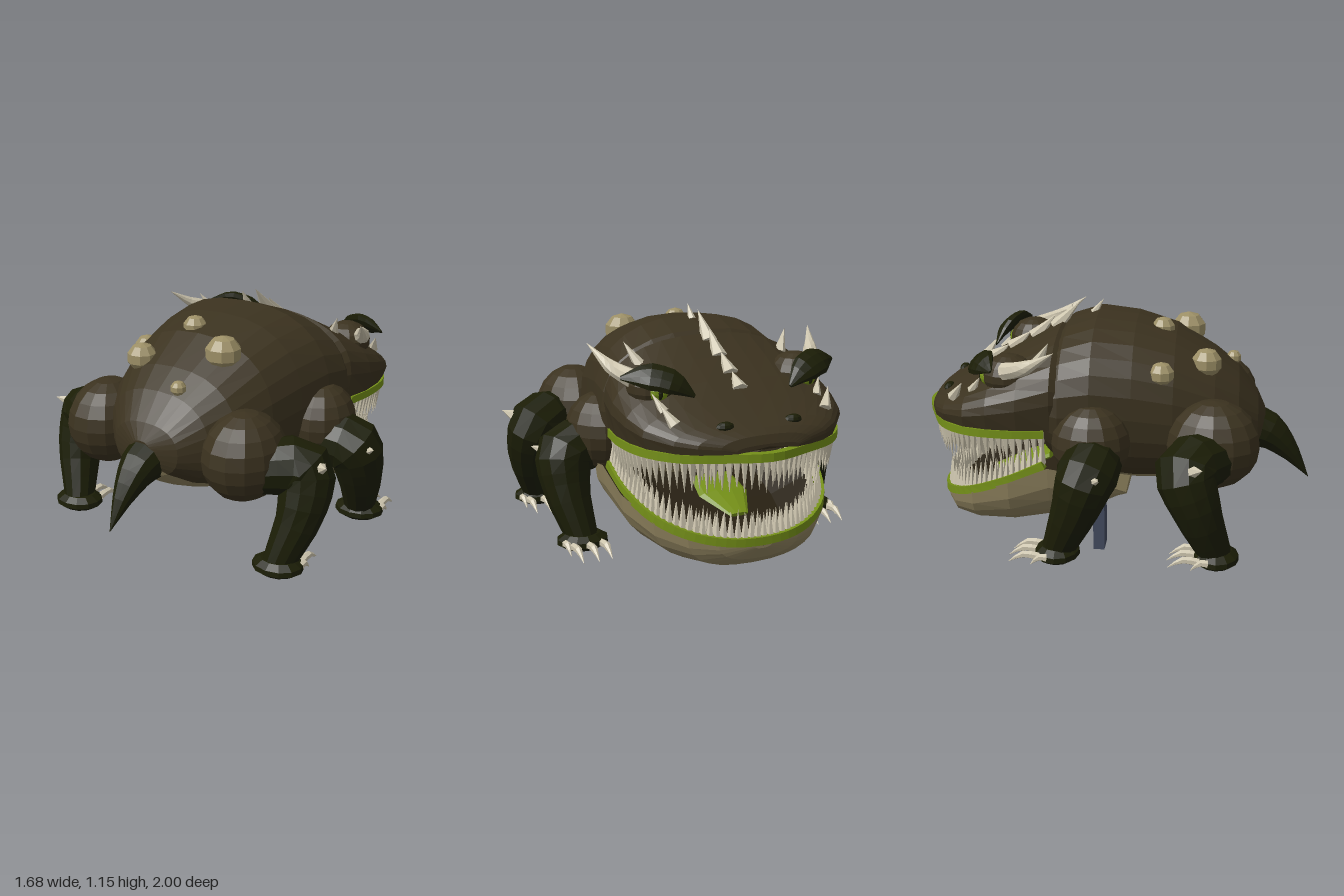
import * as THREE from 'three';
import { mergeGeometries } from 'three/addons/utils/BufferGeometryUtils.js';

const V = (x, y, z) => new THREE.Vector3(x, y, z);
const paint = (name, color) => {
  const m = new THREE.MeshStandardMaterial({ color });
  m.name = name;
  return m;
};

export function createModel() {
  const model = new THREE.Group();
  model.name = 'toothyBeast';
  const hide = paint('brown hide', 0x3b321f);
  const limb = paint('dark green skin', 0x1b1d06);
  const tan = paint('tan belly', 0x8a7e5b);
  const wartTan = paint('wart tan', 0x9c8f66);
  const lime = paint('lime lips', 0x748f18);
  const bone = paint('bone', 0xcdc5ae);
  const mouth = paint('mouth lining', 0x272012);
  const slate = paint('slate post', 0x434a5e);

  const add = (name, geo, mat) => {
    const mesh = new THREE.Mesh(geo, mat);
    mesh.name = name;
    model.add(mesh);
    return mesh;
  };
  const faceted = (geo) => {
    const g = geo.index ? geo.toNonIndexed() : geo;
    g.computeVertexNormals();
    return g;
  };

  // Skin closed rings; slot(j, i) picks the material for each patch
  const loft = (rings, slot = () => 0) => {
    const buckets = [[], []];
    const tri = (s, ...pts) => pts.forEach((p) => buckets[s].push(p.x, p.y, p.z));
    const n = rings[0].length;
    for (let j = 0; j < n; j++) {
      const k = (j + 1) % n;
      for (let i = 0; i < rings.length - 1; i++) {
        const a = rings[i][j], b = rings[i][k], c = rings[i + 1][k], d = rings[i + 1][j];
        tri(slot(j, i), a, d, b);
        tri(slot(j, i), b, d, c);
      }
    }
    [rings[0], rings[rings.length - 1]].forEach((ring, end) => {
      const mid = ring.reduce((m, p) => m.add(p), V(0, 0, 0)).divideScalar(n);
      for (let j = 0; j < n; j++) {
        const p = ring[j], q = ring[(j + 1) % n];
        if (end) tri(slot(j, rings.length), mid, q, p); else tri(slot(j, 0), mid, p, q);
      }
    });
    const g = new THREE.BufferGeometry();
    g.setAttribute('position', new THREE.Float32BufferAttribute(buckets.flat(), 3));
    const count = buckets[0].length / 3;
    g.addGroup(0, count, 0);
    if (buckets[1].length) g.addGroup(count, buckets[1].length / 3, 1);
    g.computeVertexNormals();
    return g;
  };

  // Tapered tube through points; flat squashes it along the ref direction
  const taper = (pts, radii, { sides = 10, steps = 8, flat = 1, ref = V(0, 0.5, 0.87) } = {}) => {
    const curve = new THREE.CatmullRomCurve3(pts);
    const rings = [];
    for (let i = 0; i <= steps; i++) {
      const t = i / steps, f = t * (radii.length - 1), k = Math.min(Math.floor(f), radii.length - 2);
      const r = THREE.MathUtils.lerp(radii[k], radii[k + 1], f - k);
      const T = curve.getTangent(t), p = curve.getPoint(t);
      const U = ref.clone().addScaledVector(T, -ref.dot(T)).normalize();
      const W = T.clone().cross(U);
      rings.push(Array.from({ length: sides }, (_, j) => {
        const a = (j + 0.5) / sides * Math.PI * 2;
        return p.clone().addScaledVector(U, Math.cos(a) * r * flat).addScaledVector(W, -Math.sin(a) * r);
      }));
    }
    return loft(rings);
  };
  const spike = (base, tip, r, sides = 6) => {
    const dir = tip.clone().sub(base), h = dir.length();
    const g = new THREE.ConeGeometry(r, h, sides).translate(0, h / 2, 0);
    g.applyQuaternion(new THREE.Quaternion().setFromUnitVectors(V(0, 1, 0), dir.normalize()));
    return faceted(g.translate(base.x, base.y, base.z));
  };
  const ball = (c, rx, ry, rz, w = 14, h = 9) =>
    faceted(new THREE.SphereGeometry(1, w, h).scale(rx, ry, rz).translate(...c));
  const pw = (v, e) => Math.sign(v) * Math.abs(v) ** e;

  // Body: z, top, bottom, half width
  const bodyRows = [[0.76, 0.6, 0.48, 0.06], [0.72, 0.68, 0.42, 0.19], [0.62, 0.81, 0.34, 0.3],
    [0.5, 0.9, 0.29, 0.38], [0.3, 1.02, 0.25, 0.45], [0.1, 1.08, 0.25, 0.49], [-0.1, 1.1, 0.28, 0.525],
    [-0.25, 1.05, 0.32, 0.54], [-0.32, 0.98, 0.4, 0.52], [-0.38, 0.85, 0.5, 0.45]];
  add('body', loft(bodyRows.map(([z, t, b, w]) => Array.from({ length: 28 }, (_, j) => {
    const a = j / 28 * Math.PI * 2;
    return V(w * pw(Math.cos(a), 0.82), (t + b) / 2 + (t - b) / 2 * pw(Math.sin(a), 0.88), z);
  })), (j) => (j >= 18 && j < 24 ? 1 : 0)), [hide, tan]);

  // Head: z, top, half width; cheeks bulge above the lip, arched palate underneath
  const headRows = [[-0.2, 0.99, 0.49], [-0.29, 1.035, 0.54], [-0.45, 0.95, 0.565], [-0.6, 0.87, 0.555],
    [-0.72, 0.8, 0.52], [-0.84, 0.735, 0.42], [-0.9, 0.705, 0.33], [-0.935, 0.68, 0.23], [-0.95, 0.64, 0.16]];
  add('head', loft(headRows.map(([z, t, w]) => {
    const cy = 0.61 + (t - 0.61) * 0.32;
    const ring = Array.from({ length: 17 }, (_, j) => {
      const a = j / 16 * Math.PI;
      return V(w * pw(Math.cos(a), 0.85), cy + (t - cy) * pw(Math.sin(a), 0.88), z);
    });
    [[-0.96, 0], [-0.8, 0.08], [-0.4, 0.25], [0.4, 0.25], [0.8, 0.08], [0.96, 0]].forEach(([f, rise]) =>
      ring.push(V(w * f, 0.61 + (t - 0.61) * rise, z)));
    return ring;
  }), (j) => (j >= 17 && j < 22 ? 1 : 0)), [hide, mouth]);

  // Lower jaw: z, rim, bottom, half width, floor depth; the back shelf is tan
  const jawRows = [[0.07, 0.25, 0.21, 0.38, 0], [-0.02, 0.32, 0.16, 0.48, 0], [-0.15, 0.4, 0.1, 0.54, 0.05],
    [-0.3, 0.43, 0.05, 0.555, 0.35], [-0.5, 0.34, 0.02, 0.54, 0.35], [-0.7, 0.25, 0.015, 0.46, 0.35],
    [-0.82, 0.195, 0.025, 0.34, 0.35], [-0.88, 0.165, 0.07, 0.21, 0.3], [-0.915, 0.155, 0.13, 0.05, 0]];
  add('lowerJaw', loft(jawRows.map(([z, r, b, w, dip]) => {
    const ring = Array.from({ length: 15 }, (_, j) => {
      const a = Math.PI + j / 14 * Math.PI;
      return V(w * pw(Math.cos(a), 0.82), r + (r - b) * pw(Math.sin(a), 0.85), z);
    });
    [0.88, 0.5, -0.5, -0.88].forEach((f) => ring.push(V(w * f, r - (r - b) * dip * (Math.abs(f) < 0.6 ? 1 : 0.3), z)));
    return ring;
  }), (j, i) => (j >= 14 && i >= 2 ? 1 : 0)), [tan, mouth]);

  // Lips and rows of teeth along each mouth edge
  const edge = (half) => [...half, ...half.slice(0, -1).reverse().map(([x, y, z]) => [-x, y, z])].map((p) => V(...p));
  const upperEdge = edge([[0.515, 0.595, -0.32], [0.53, 0.595, -0.5], [0.5, 0.595, -0.69], [0.39, 0.59, -0.83],
    [0.2, 0.59, -0.92], [0, 0.59, -0.98]]);
  const lowerEdge = edge([[0.525, 0.44, -0.32], [0.51, 0.35, -0.5], [0.435, 0.26, -0.7], [0.31, 0.205, -0.82],
    [0.16, 0.175, -0.885], [0, 0.165, -0.9]]);
  [['upper', upperEdge, -1, 0.18], ['lower', lowerEdge, 1, 0.155]].forEach(([name, pts, dir, len]) => {
    add(name + 'Lip', taper(pts, [0.028, 0.028], { sides: 4, steps: 36, ref: V(0, 1, 0) }), lime);
    const curve = new THREE.CatmullRomCurve3(pts);
    const teeth = [];
    [[56, 0.985, 1], [46, 0.92, 0.85]].forEach(([n, inset, size]) => {
      for (let i = 0; i < n; i++) {
        const p = curve.getPointAt((i + 0.5) / n);
        p.x *= inset;
        p.z = -0.3 + (p.z + 0.3) * inset;
        const h = len * size * (0.92 + 0.08 * Math.sin(i * 2.4));
        teeth.push(spike(p, V(p.x * 0.98, p.y + dir * h, p.z + 0.005), 0.02, 5));
      }
    });
    add(name + 'Teeth', mergeGeometries(teeth), bone);
  });
  add('tongue', taper([V(0, 0.32, -0.36), V(0, 0.27, -0.5), V(0, 0.215, -0.67)], [0.11, 0.13, 0.05],
    { flat: 0.2, ref: V(0, 1, 0) }), lime);

  // Tail
  add('tail', taper([V(0, 0.51, 0.6), V(0, 0.48, 0.76), V(0, 0.38, 0.88), V(0, 0.22, 1)],
    [0.125, 0.105, 0.06, 0.001], { sides: 12 }), limb);

  // Back spines
  [[-0.66, 0.83, 0.08, 0.07], [-0.56, 0.885, 0.1, 0.09], [-0.44, 0.945, 0.11, 0.12], [-0.33, 1, 0.13, 0.14],
    [-0.13, 1.08, 0.05, 0.075]].forEach(([z, y, dz, dy]) =>
    add('backSpine', spike(V(0, y, z), V(0, y + dy, z + dz), z > -0.2 ? 0.022 : 0.042), bone));

  // Warts on the back
  [[0.19, 0.965, 0.35, 0.092], [-0.23, 0.895, 0.455, 0.078], [-0.07, 1.025, 0.23, 0.062], [-0.375, 0.87, 0.24, 0.066],
    [0.1, 0.835, 0.59, 0.04]].forEach(([x, y, z, r]) => add('wart', ball([x, y, z], r, r * 0.95, r, 9, 5), wartTan));

  for (const s of [1, -1]) {
    const P = (x, y, z) => V(s * x, y, z);

    // Eyes, brows, horns and nostrils
    add('eyeMound', ball([s * 0.38, 0.85, -0.51], 0.125, 0.105, 0.13), hide);
    add('eye', ball([s * 0.39, 0.845, -0.6], 0.052, 0.05, 0.05), lime);
    add('pupil', ball([s * 0.395, 0.845, -0.638], 0.014, 0.032, 0.016, 8, 6), limb);
    add('brow', taper([P(0.25, 0.83, -0.7), P(0.34, 0.895, -0.67), P(0.45, 0.925, -0.62), P(0.56, 0.915, -0.56)],
      [0.01, 0.07, 0.075, 0.01], { flat: 0.45, ref: V(0, 0.65, -0.75) }), limb);
    add('horn', taper([P(0.47, 0.89, -0.51), P(0.54, 0.935, -0.39), P(0.605, 1.025, -0.25)], [0.046, 0.034, 0.001], { sides: 8 }), bone);
    add('templeSpike', spike(P(0.38, 0.92, -0.36), P(0.44, 1.03, -0.3), 0.032), bone);
    add('cheekSpike', spike(P(0.39, 0.73, -0.79), P(0.44, 0.82, -0.73), 0.03), bone);
    add('eyeSpike', spike(P(0.4, 0.77, -0.69), P(0.44, 0.85, -0.64), 0.025), bone);
    add('nostril', ball([s * 0.175, 0.715, -0.86], 0.045, 0.025, 0.028, 10, 6), limb);

    // Thighs and shoulders
    add('thigh', ball([s * 0.42, 0.54, 0.5], 0.2, 0.22, 0.23, 14, 10), hide);
    add('shoulder', ball([s * 0.49, 0.55, -0.09], 0.17, 0.195, 0.195, 14, 10), hide);

    // Lower legs, feet, claws and knee spikes
    const legs = [
      ['rear', [P(0.5, 0.5, 0.5), P(0.67, 0.49, 0.38), P(0.7, 0.32, 0.43), P(0.635, 0.05, 0.53)], P(0.57, 0.33, 0.78),
        0.635, 0.53, [0.78, 0.53, 0.41], [0.84, 0.56, 0.46]],
      ['front', [P(0.52, 0.48, -0.06), P(0.67, 0.45, -0.09), P(0.69, 0.3, -0.14), P(0.645, 0.05, -0.24)], P(0, 0.42, -0.9),
        0.645, -0.24, [0.765, 0.46, -0.05], [0.83, 0.485, -0.02]]];
    for (const [name, pts, ref, fx, fz, base, tip] of legs) {
      add(name + 'Leg', taper(pts, [0.13, 0.152, 0.12, 0.078], { sides: 12, steps: 9, ref }), limb);
      add(name + 'Foot', faceted(new THREE.LatheGeometry([[0, 0], [0.09, 0], [0.13, 0.025], [0.128, 0.05], [0.09, 0.075], [0, 0.08]]
        .map(([r, y]) => new THREE.Vector2(r, y)), 12).scale(1, 1, 0.85).translate(s * fx, 0.005, fz)), limb);
      [[-0.07, -0.08, 0.15], [0, -0.09, 0.15], [0.075, -0.08, 0.15], [0.1, -0.02, 0.1]].forEach(([x, z, len]) =>
        add(name + 'Claw', taper([P(fx + x, 0.04, fz + z), P(fx + x, 0.05, fz + z - len / 2),
          P(fx + x, 0.008, fz + z - len)], [0.021, 0.018, 0.001], { sides: 6, steps: 4, ref: V(1, 0, 0) }), bone));
      add(name + 'KneeSpike', spike(P(...base), P(...tip), 0.036), bone);
    }
  }

  // Single support post under the right side
  const post = add('supportPost', new THREE.BoxGeometry(0.11, 0.36, 0.055), slate);
  post.position.set(-0.505, 0.195, -0.047);

  return model;
}
